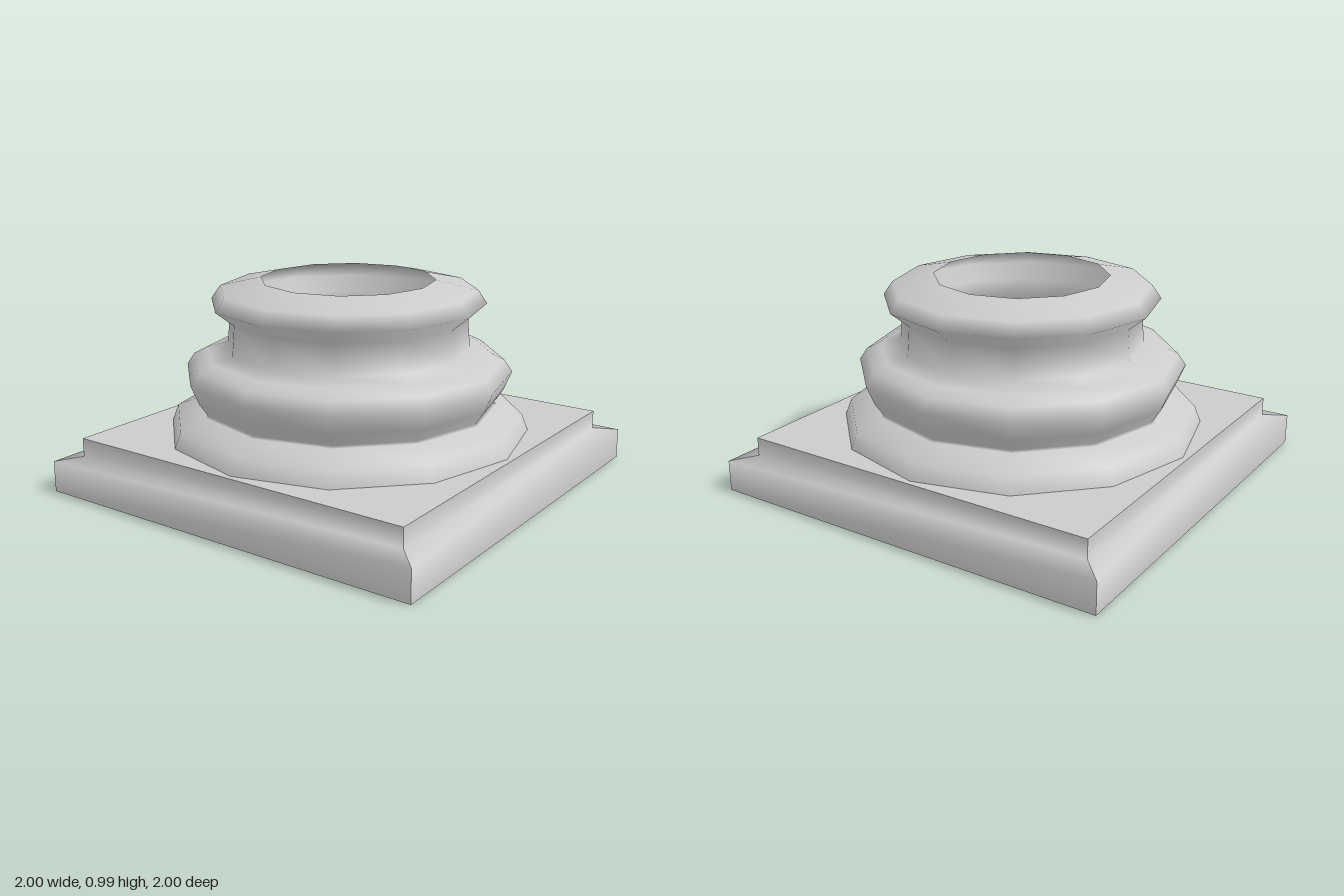
import * as THREE from 'three';

const grey = new THREE.MeshStandardMaterial({ color: 0xcccccc, side: THREE.DoubleSide });

// One mitred side of the square plinth, facing +z, smooth along its moulding
function plinthSide(profile) {
  const pos = [], index = [];
  profile.forEach(([r, y], i) => {
    pos.push(-r, y, r, r, y, r);
    if (i > 0) {
      const a = 2 * (i - 1);
      index.push(a, a + 1, a + 3, a, a + 3, a + 2);
    }
  });
  const geo = new THREE.BufferGeometry();
  geo.setAttribute('position', new THREE.Float32BufferAttribute(pos, 3));
  geo.setIndex(index);
  geo.computeVertexNormals();
  return geo;
}

export function createModel() {
  const model = new THREE.Group();
  const add = (parent, name, geo) => {
    const mesh = new THREE.Mesh(geo, grey);
    mesh.name = name;
    parent.add(mesh);
    return mesh;
  };

  // Square plinth: four stepped sides, a top and an underside
  const plinth = new THREE.Group();
  plinth.name = 'plinth';
  model.add(plinth);
  const side = plinthSide([[1, 0], [1, 0.15], [0.9, 0.167], [0.9, 0.257]]);
  for (let i = 0; i < 4; i++) add(plinth, 'plinthSide', side).rotation.y = i * Math.PI / 2;
  add(plinth, 'plinthTop', new THREE.PlaneGeometry(1.8, 1.8).rotateX(-Math.PI / 2).translate(0, 0.257, 0));
  add(plinth, 'plinthUnderside', new THREE.PlaneGeometry(2, 2).rotateX(Math.PI / 2));

  // Twelve-sided turned moulding: an open shell with a hole in the top
  const profile = [
    [0.875, 0.257], [0.845, 0.335], [0.72, 0.383], [0.71, 0.393],
    [0.752, 0.455], [0.79, 0.547], [0.752, 0.603], [0.685, 0.637],
    [0.585, 0.662], [0.573, 0.807], [0.66, 0.877], [0.617, 0.94], [0.417, 0.985],
  ].map(([r, y]) => new THREE.Vector2(r, y));
  add(model, 'turnedMoulding', new THREE.LatheGeometry(profile, 12));

  return model;
}
